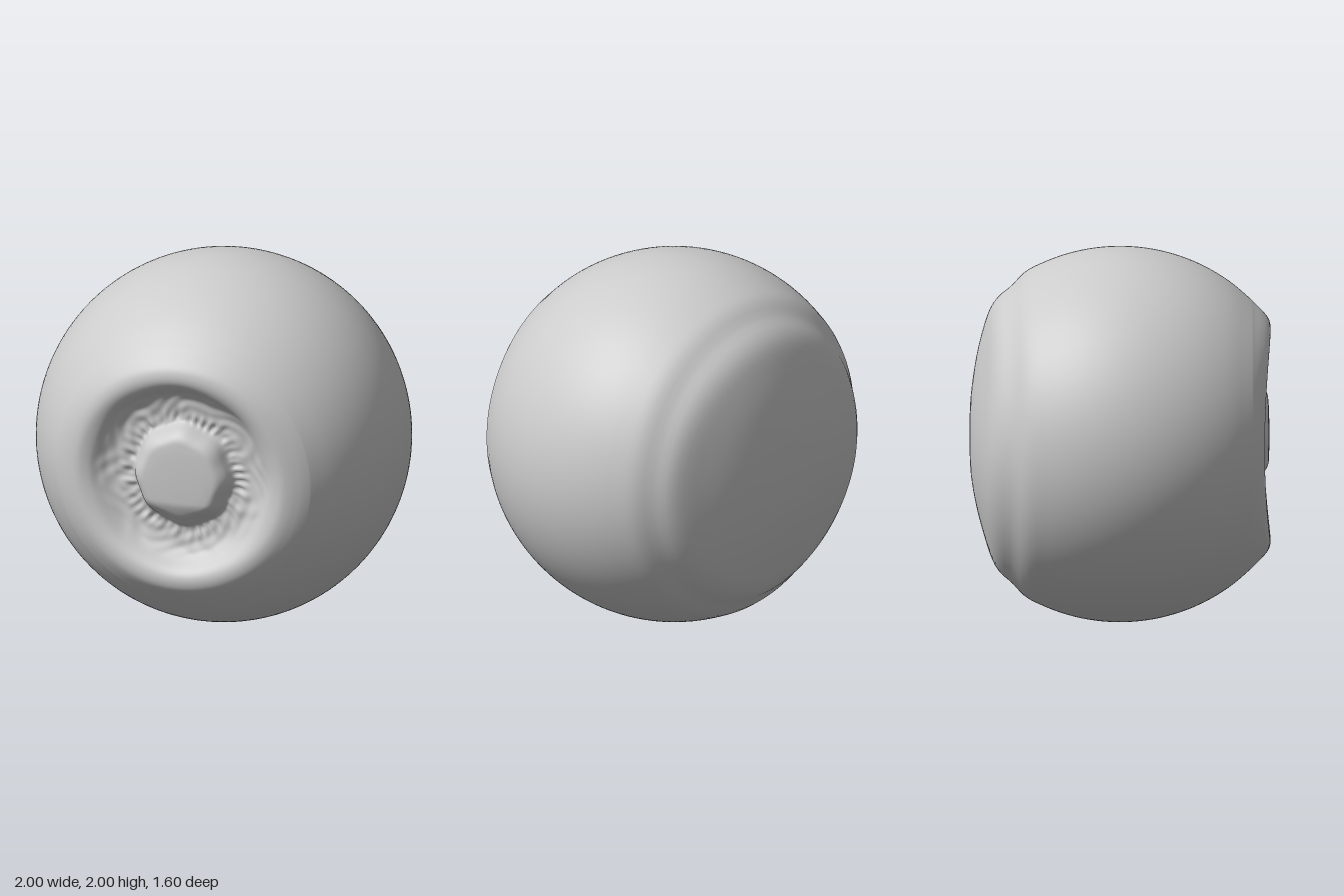
import * as THREE from 'three';
import { mergeVertices } from 'three/addons/utils/BufferGeometryUtils.js';

const smooth = THREE.MathUtils.smoothstep;
const curve = (pts, n) =>
  new THREE.SplineCurve(pts.map(([r, z]) => new THREE.Vector2(r, z))).getSpacedPoints(n);

// Profile (radius, depth) from the back pole to the front pole
function bodyProfile() {
  // shallow domed flat on the back
  const back = [[0, -0.8], [0.2, -0.793], [0.4, -0.762], [0.58, -0.715], [0.68, -0.678], [0.74, -0.635], [0.79, -0.575]];
  // round body
  const round = [];
  for (let z = -0.5; z < 0.72; z += 0.1) round.push([Math.sqrt(1 - z * z), z]);
  // front rim, sunken ring and central button
  const front = [[0.714, 0.7], [0.66, 0.745], [0.61, 0.775], [0.56, 0.783], [0.51, 0.765], [0.46, 0.72],
    [0.41, 0.69], [0.35, 0.68], [0.3, 0.675], [0.275, 0.69], [0.25, 0.745], [0.215, 0.78], [0.17, 0.79], [0.08, 0.794], [0, 0.795]];
  return [...curve([...back, ...round], 60), ...curve(front, 100).slice(1)];
}

// Small radial wrinkles, fading out at both edges of the sunken ring
function wrinkle(r, a) {
  const band = smooth(r, 0.26, 0.31) * (1 - smooth(r, 0.43, 0.51));
  const inner = 1 - smooth(r, 0.3, 0.4);
  const fine = Math.sin(31 * a + 3 * Math.sin(5 * a)) + 0.6 * Math.sin(47 * a + 40 * r);
  const broad = Math.sin(13 * a + 25 * r + Math.sin(4 * a)) * Math.sin(70 * r + 2 * Math.sin(7 * a));
  return band * (0.006 * inner * fine + 0.004 * broad);
}

export function createModel() {
  const group = new THREE.Group();
  let geometry = new THREE.LatheGeometry(bodyProfile(), 180);
  geometry.rotateX(Math.PI / 2);
  geometry.deleteAttribute('uv');
  geometry.deleteAttribute('normal');
  geometry = mergeVertices(geometry, 1e-5);

  const p = geometry.attributes.position;
  for (let i = 0; i < p.count; i++) {
    let x = p.getX(i), y = p.getY(i), z = p.getZ(i);
    const r = Math.hypot(x, y), a = Math.atan2(y, x);
    if (z > 0.5 && r < 0.72) {
      // rim stands higher above and below than at the sides
      const rim = smooth(r, 0.42, 0.55) * (1 - smooth(r, 0.6, 0.72));
      z += wrinkle(r, a) - 0.018 * rim * Math.cos(2 * a);
      // button and ring are slightly angular
      const edge = smooth(r, 0.1, 0.25) * (1 - smooth(r, 0.28, 0.6));
      const k = 1 + 0.02 * edge * Math.cos(8 * a) - 0.02 * edge * Math.cos(2 * a);
      x *= k;
      y *= k;
      // lower edge of the button is chamfered
      z -= 0.03 * smooth(-y, 0.13, 0.25) * (1 - smooth(r, 0.24, 0.28));
    } else if (z < -0.5) {
      // faint unevenness of the flattened back
      z += 0.008 * smooth(r, 0.2, 0.6) * (1 - smooth(r, 0.65, 0.8)) * Math.sin(3 * a + 1) + 0.012 * x * smooth(-z, 0.6, 0.72);
    }
    p.setXYZ(i, x, y + 1, z);
  }
  geometry.computeVertexNormals();

  const body = new THREE.Mesh(geometry, new THREE.MeshStandardMaterial({ color: 0xcccccc }));
  body.name = 'dimpledBall';
  group.add(body);
  return group;
}
